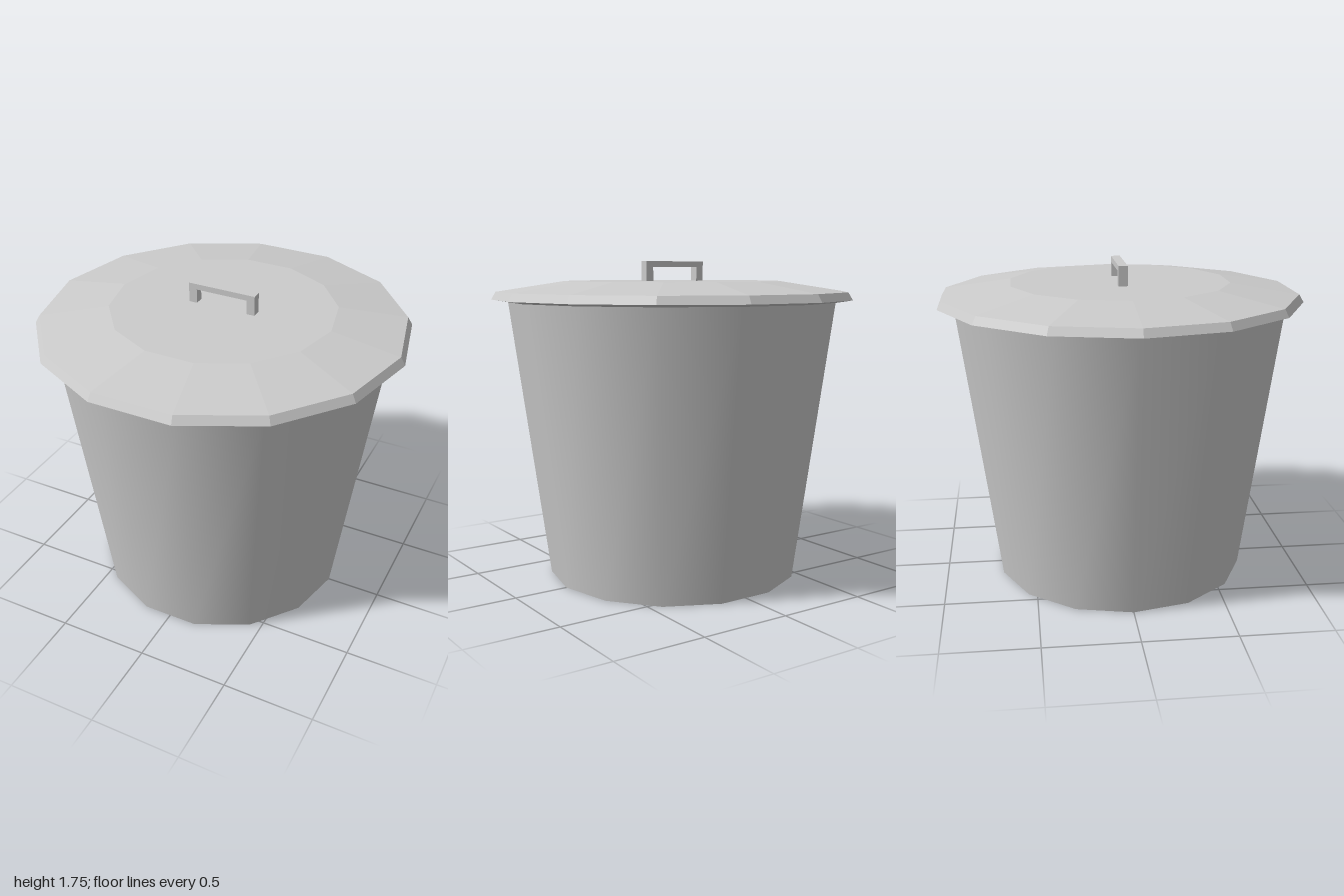
import * as THREE from 'three';

const SIDES = 14;

export function createModel() {
  const group = new THREE.Group();
  const smooth = new THREE.MeshStandardMaterial({ color: 0xcccccc });
  const flat = new THREE.MeshStandardMaterial({ color: 0xcccccc, flatShading: true });

  const add = (name, geometry, material) => {
    const mesh = new THREE.Mesh(geometry, material);
    mesh.name = name;
    group.add(mesh);
  };

  // Tapered bin body with smooth sides and a flat base, one corner on the x axis
  const bodyHeight = 1.54;
  const body = new THREE.CylinderGeometry(0.91, 0.7, bodyHeight, SIDES);
  body.rotateY(Math.PI / 2).translate(0, bodyHeight / 2, 0);
  add('body', body, smooth);

  // Faceted lid: underside, bevelled rim, shallow slope and flat top
  const profile = [[0, 1.535], [0.92, 1.535], [1, 1.548], [0.975, 1.59], [0.605, 1.647], [0, 1.647]]
    .map(([r, y]) => new THREE.Vector2(r, y));
  const lid = new THREE.LatheGeometry(profile, SIDES).rotateY(Math.PI / 2).toNonIndexed();
  lid.computeVertexNormals();
  add('lid', lid, flat);

  // Square-section bracket handle, extruded across its thickness
  const outline = [[-0.19, 1.64], [-0.145, 1.64], [-0.145, 1.724], [0.145, 1.724],
    [0.145, 1.64], [0.19, 1.64], [0.19, 1.755], [-0.19, 1.755]]
    .map(([x, y]) => new THREE.Vector2(x, y));
  const handle = new THREE.ExtrudeGeometry(new THREE.Shape(outline), { depth: 0.05, bevelEnabled: false });
  handle.translate(0, 0, -0.025);
  add('handle', handle, flat);

  return group;
}
